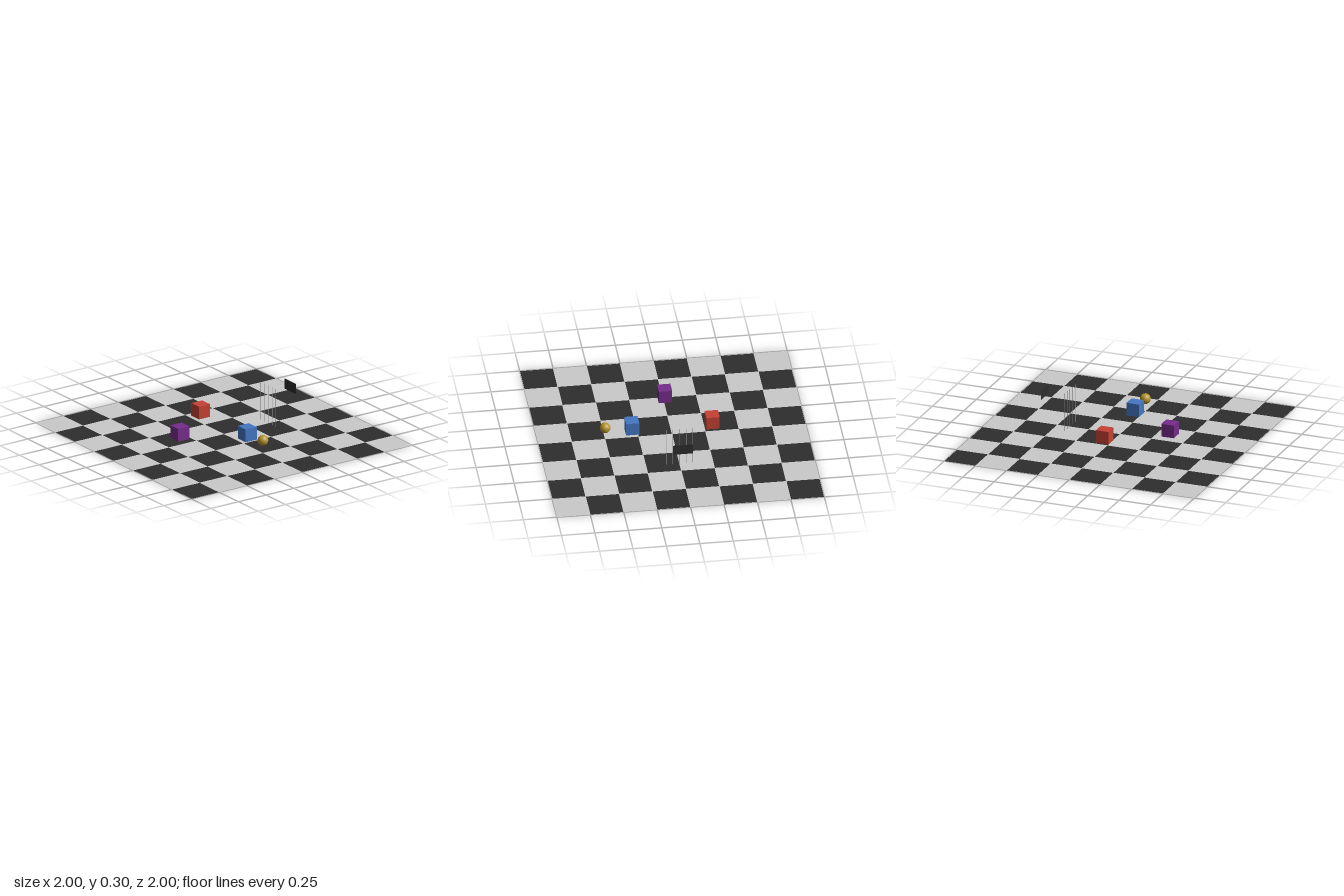
import * as THREE from 'three';

const mat = (name, color, side = THREE.FrontSide) => {
  const m = new THREE.MeshStandardMaterial({ color, side });
  m.name = name;
  return m;
};

export function createModel() {
  const model = new THREE.Group();
  model.name = 'checkeredScene';

  const lightTile = mat('light grey', 0xcacaca, THREE.DoubleSide);
  const dark = mat('charcoal', 0x2d2d2d, THREE.DoubleSide);
  const red = mat('red', 0xc44133);
  const blue = mat('blue', 0x4477c4);
  const purple = mat('purple', 0x762c8a);
  const gold = mat('gold', 0xb8962a);
  const steel = mat('steel grey', 0xaaaaaa);

  const add = (name, geometry, material, x = 0, y = 0, z = 0) => {
    const mesh = new THREE.Mesh(geometry, material);
    mesh.name = name;
    mesh.position.set(x, y, z);
    model.add(mesh);
    return mesh;
  };

  // Flat floor: light sheet with square openings, filled by dark tiles
  const square = (path, x, y, s) =>
    path.moveTo(x, y).lineTo(x + s, y).lineTo(x + s, y + s).lineTo(x, y + s).closePath();
  const tile = 0.25, gap = 0.002, size = tile - 2 * gap;
  const sheet = square(new THREE.Shape(), -1, -1, 2);
  const darkTiles = [];
  for (let row = 0; row < 8; row++) {
    for (let col = 0; col < 8; col++) {
      if ((row + col) % 2) continue;
      const x = -1 + col * tile + gap;
      const y = 1 - (row + 1) * tile + gap;
      sheet.holes.push(square(new THREE.Path(), x, y, size));
      darkTiles.push(square(new THREE.Shape(), x, y, size));
    }
  }
  add('floorLightTiles', new THREE.ShapeGeometry(sheet).rotateX(-Math.PI / 2), lightTile);
  add('floorDarkTiles', new THREE.ShapeGeometry(darkTiles).rotateX(-Math.PI / 2), dark);

  // Floating cubes and ball
  const cube = new THREE.BoxGeometry(0.1, 0.1, 0.1);
  add('redCube', cube, red, -0.3, 0.1, 0);
  add('blueCube', cube, blue, 0.3, 0.1, 0);
  add('purpleCube', cube, purple, 0, 0.1, 0.4);
  add('goldBall', new THREE.SphereGeometry(0.04, 32, 16), gold, 0.5, 0.1, 0);

  // Row of thin bars
  const bar = new THREE.CylinderGeometry(0.002, 0.002, 0.3, 8);
  for (let i = -2; i <= 2; i++) add('bar', bar, steel, i * 0.05, 0.15, -0.4);

  // Flat panel behind the bars
  add('panel', new THREE.PlaneGeometry(0.15, 0.08), dark, 0, 0.25, -0.6);

  return model;
}
